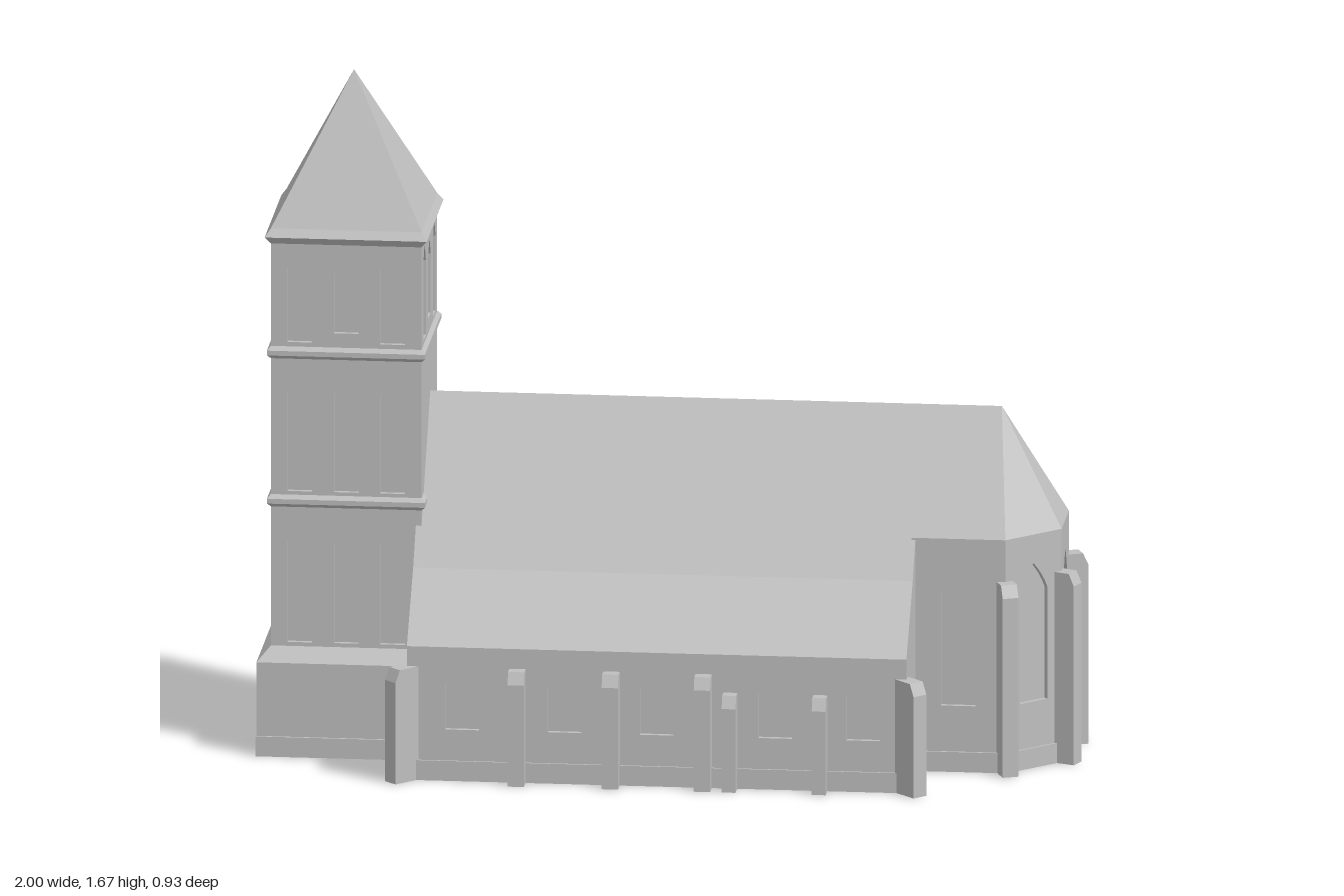
import * as THREE from 'three';

const D = 0.012; // depth of window recesses
const TX = -0.78, TZ = 0.02; // tower centre

export function createModel() {
  const root = new THREE.Group();
  root.name = 'church';
  const stone = new THREE.MeshStandardMaterial({ color: 0xbfbfbf });
  stone.name = 'stone grey';

  const add = (name, geo, x = 0, y = 0, z = 0, ry = 0) => {
    const m = new THREE.Mesh(geo, stone);
    m.name = name;
    m.position.set(x, y, z);
    m.rotation.y = ry;
    root.add(m);
    return m;
  };
  const poly = pts => new THREE.Shape(pts.map(p => new THREE.Vector2(p[0], p[1])));
  const extrude = (shape, depth) =>
    new THREE.ExtrudeGeometry(shape, { depth, bevelEnabled: false, curveSegments: 4 });
  const rect = (u, y0, y1) => [[-u, y0], [u, y0], [u, y1], [-u, y1]];
  const box = (name, w, h, d, x, y, z) =>
    add(name, new THREE.BoxGeometry(w, h, d), x, y + h / 2, z);

  // Pointed-arch opening
  const lancet = ([u, y0, y1, w]) => {
    const h = w / 2, s = y1 - w * 0.78, p = new THREE.Path();
    p.moveTo(u - h, y0);
    p.lineTo(u + h, y0);
    p.lineTo(u + h, s);
    p.quadraticCurveTo(u + h * 0.7, s + (y1 - s) * 0.5, u, y1);
    p.quadraticCurveTo(u - h * 0.7, s + (y1 - s) * 0.5, u - h, s);
    p.lineTo(u - h, y0);
    return p;
  };

  // Wall skin with openings; its outer face looks along angle a
  const panel = (name, outline, wins, x, z, a) => {
    const s = poly(outline);
    wins.forEach(w => s.holes.push(lancet(w)));
    add(name, extrude(s, D).translate(0, 0, -D), x, 0, z, a);
  };

  // Square tapering block around the tower axis
  const square = (name, y0, r0, y1, r1) => {
    const g = new THREE.CylinderGeometry(r1 * Math.SQRT2, r0 * Math.SQRT2, y1 - y0, 4)
      .rotateY(Math.PI / 4).toNonIndexed();
    g.computeVertexNormals();
    add(name, g, TX, (y0 + y1) / 2, TZ);
  };

  // Buttress standing out along angle a, with a sloped cap
  const buttress = (name, x, z, a, h, d, w = 0.04) => {
    const s = poly([[-0.03, 0], [d, 0], [d, h - 0.03], [d - 0.014, h], [-0.03, h]]);
    const g = extrude(s, w).translate(0, 0, -w / 2).rotateY(-Math.PI / 2);
    add(name, g, x, 0, z, a);
  };

  // ---- Tower ----
  const half = 0.184, baseHalf = 0.216;
  square('towerBaseCore', 0, baseHalf - D, 0.235, baseHalf - D);
  square('towerBaseSkirt', 0.235, baseHalf, 0.27, half);
  square('towerCore', 0.25, half - D, 1.295, half - D);
  const topRow = [[-0.113, 1.035, 1.27, 0.06], [0, 1.06, 1.255, 0.06], [0.113, 1.035, 1.27, 0.06]];
  const allRows = [...topRow];
  for (const u of [-0.113, 0, 0.113])
    allRows.push([u, 0.28, 0.578, 0.06], [u, 0.66, 0.955, 0.06]);
  for (let i = 0; i < 4; i++) {
    const a = i * Math.PI / 2, sx = Math.sin(a), cz = Math.cos(a);
    panel('towerWall', rect(half, 0.25, 1.295), i === 1 ? topRow : allRows,
      TX + half * sx, TZ + half * cz, a);
    panel('towerBaseWall', rect(baseHalf, 0, 0.235), i === 3 ? [[0, 0.012, 0.19, 0.11]] : [],
      TX + baseHalf * sx, TZ + baseHalf * cz, a);
  }
  for (const s of [-1, 1])
    box('towerPlinth', 0.436, 0.05, 0.012, TX, 0, TZ + s * baseHalf);
  box('doorStep', 0.012, 0.012, 0.14, -0.994, 0, TZ);
  for (const y of [0.635, 1.008]) {
    square('towerCornice', y - 0.015, 0.184, y - 0.006, 0.193);
    square('towerCornice', y - 0.006, 0.193, y + 0.006, 0.193);
    square('towerCornice', y + 0.006, 0.193, y + 0.016, 0.184);
  }
  square('towerEaves', 1.282, 0.184, 1.3, 0.198);
  square('towerEaves', 1.3, 0.198, 1.32, 0.184);
  square('towerRoof', 1.32, 0.184, 1.675, 0.0005);

  // ---- Nave ----
  const NX = 0.61, NZ = 0.415;
  const roofLine = [[NZ, 0.335], [0.267, 0.493], [0, 0.867], [-0.267, 0.493], [-NZ, 0.335]];
  const inner = NZ - D;
  add('naveAndRoof',
    extrude(poly([[-inner, 0], [inner, 0], [inner, 0.335], ...roofLine, [-inner, 0.335]]), 2 * NX - D),
    -NX + D, 0, 0, Math.PI / 2);
  panel('naveWestGable', [[-NZ, 0], [NZ, 0], ...roofLine],
    [[-0.31, 0.01, 0.15, 0.06], [-0.31, 0.2, 0.27, 0.04]], -NX, 0, -Math.PI / 2);
  const win = u => [u, 0.128, 0.305, 0.082];
  panel('naveFrontWall', rect(NX, 0, 0.335), [-0.475, -0.225, 0, 0.29, 0.505].map(win), 0, NZ, 0);
  panel('naveBackWall', rect(NX, 0, 0.335),
    [...[-0.475, -0.225, 0.235, 0.48].map(win), [0, 0.17, 0.305, 0.082], [0, 0.05, 0.14, 0.055]],
    0, -NZ, Math.PI);
  for (const s of [-1, 1]) {
    box('navePlinth', 2 * NX, 0.05, 0.01, 0, 0, s * NZ);
    for (const t of [-1, 1])
      buttress('cornerButtress', s * NX, t * NZ, Math.atan2(s, t), 0.285, 0.052);
  }
  for (const [x, h] of [[-0.34, 0.285], [-0.11, 0.285], [0.115, 0.285], [0.18, 0.24], [0.4, 0.24]])
    buttress('frontButtress', x, NZ, 0, h, 0.043, h < 0.25 ? 0.034 : 0.04);
  for (const x of [-0.355, -0.12, 0.11, 0.34])
    buttress('backButtress', x, -NZ, Math.PI, 0.285, 0.043);
  box('chimney', 0.032, 0.2, 0.036, 0.185, 0.405, -0.249);

  // ---- Apse ----
  const EAVE = 0.585;
  const ring = o => [[0.6, 0.205 - o], [0.83 - 0.414 * o, 0.205 - o], [0.955 - o, 0.085 - 0.414 * o],
    [0.955 - o, -0.085 + 0.414 * o], [0.83 - 0.414 * o, -0.205 + o], [0.6, -0.205 + o]];
  const prism = (name, o, h) =>
    add(name, extrude(poly(ring(o).reverse()), h).rotateX(-Math.PI / 2));
  prism('apseCore', D, EAVE);
  prism('apsePlinth', -0.006, 0.05);
  const corners = ring(0);
  for (let i = 0; i < 5; i++) {
    const [x0, z0] = corners[i], [x1, z1] = corners[i + 1];
    const a = Math.atan2(z0 - z1, x1 - x0);
    const len = Math.hypot(x1 - x0, z1 - z0);
    panel('apseWall', rect(len / 2, 0, EAVE), [[0, i === 4 ? 0.34 : 0.165, 0.513, 0.085]],
      (x0 + x1) / 2, (z0 + z1) / 2, a);
  }
  [67.5, 22.5, -22.5, -67.5].forEach((deg, i) => {
    const [x, z] = corners[i + 1];
    buttress('apseButtress', x, z, Math.PI / 2 - deg * Math.PI / 180, 0.48, 0.044);
  });

  // Hipped roof over the apse
  const eave = corners.map(([x, z]) => [x, EAVE, z]);
  const apex = [0.8, 0.867, 0], ridge = [0.6, 0.867, 0], tri = [];
  for (let i = 0; i < 5; i++) tri.push(apex, eave[i], eave[i + 1]);
  tri.push(ridge, eave[0], apex, ridge, apex, eave[5]);
  const roof = new THREE.BufferGeometry();
  roof.setAttribute('position', new THREE.Float32BufferAttribute(tri.flat(), 3));
  // outward winding: swap the last two corners of any triangle facing down
  const p = roof.attributes.position, va = new THREE.Vector3(), vb = va.clone(), vc = va.clone();
  for (let i = 0; i < p.count; i += 3) {
    va.fromBufferAttribute(p, i);
    vb.fromBufferAttribute(p, i + 1);
    vc.fromBufferAttribute(p, i + 2);
    const n = vb.clone().sub(va).cross(vc.clone().sub(va));
    if (n.y < 0) {
      p.setXYZ(i + 1, vc.x, vc.y, vc.z);
      p.setXYZ(i + 2, vb.x, vb.y, vb.z);
    }
  }
  roof.computeVertexNormals();
  add('apseRoof', roof);

  // ---- Sacristy with lean-to roof ----
  const SB = 0.457;
  const lean = b => [[0.19, 0], [b, 0], [b, 0.135], [SB, 0.135], [0.19, 0.315]];
  add('sacristy', extrude(poly(lean(SB - D)), 0.23 - D), 0.6, 0, 0, Math.PI / 2);
  panel('sacristyEastWall', lean(SB), [[0.325, 0.065, 0.19, 0.055]], 0.83, 0, Math.PI / 2);
  panel('sacristyBackWall', rect(0.115, 0, 0.135), [[0, 0.035, 0.11, 0.05]], 0.715, -SB, Math.PI);
  box('sacristyPlinth', 0.23, 0.05, 0.01, 0.715, 0, -SB);

  return root;
}
